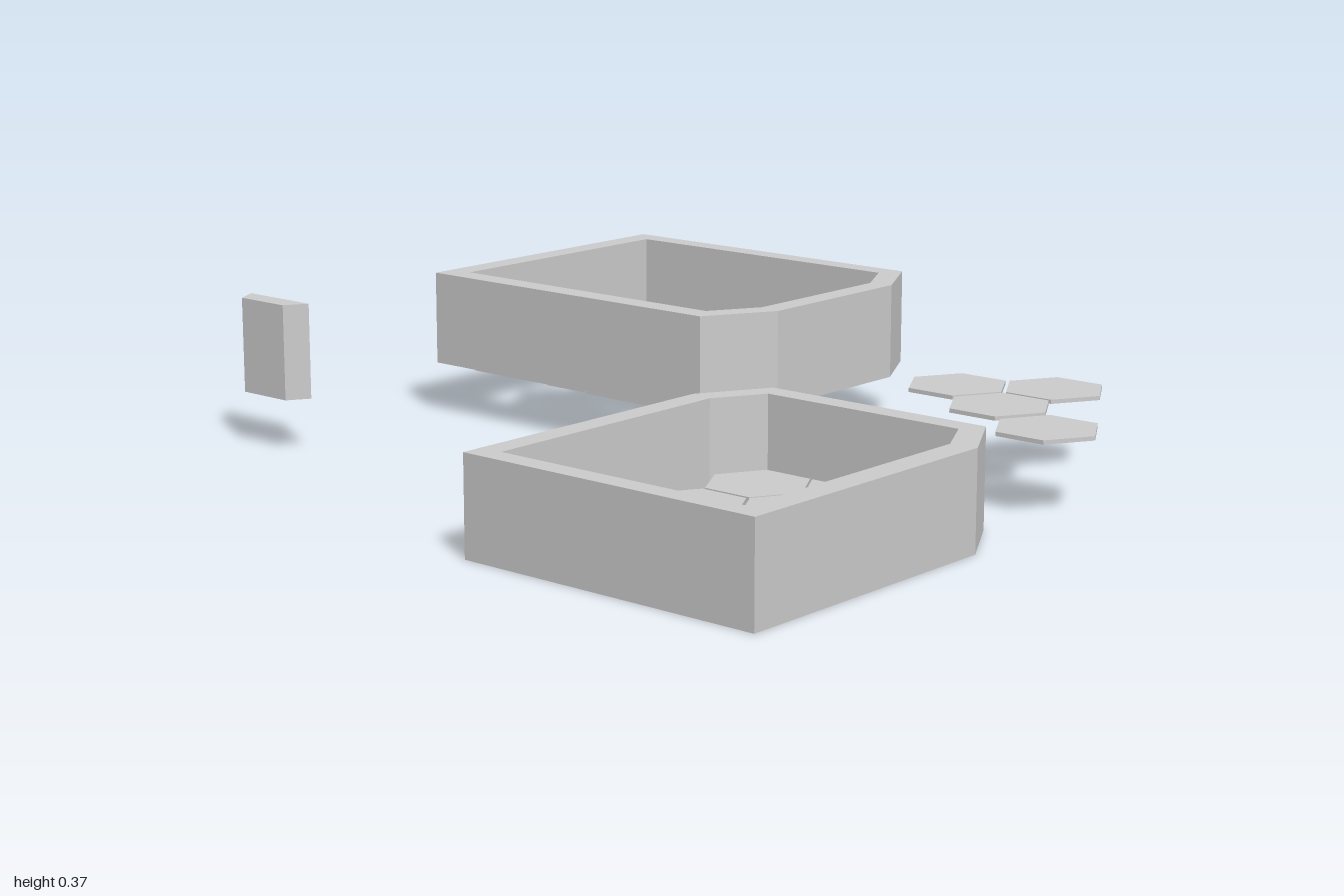
import * as THREE from 'three';

const material = new THREE.MeshStandardMaterial({ color: 0xcccccc, flatShading: true });
const R = 0.128;        // tile radius
const W = 0.11;         // tile half width
const T = 0.01;         // tile thickness

// Upright prism from a plan outline of [x, z] points, with an optional hole
function prism(name, outline, y, height, hole) {
  const flip = (pts) => pts.map(([x, z]) => new THREE.Vector2(x, -z));
  const shape = new THREE.Shape(flip(outline));
  // the hole winds against the outline so its walls face inwards
  if (hole) shape.holes.push(new THREE.Path(flip(hole).reverse()));
  const geometry = new THREE.ExtrudeGeometry(shape, { depth: height, bevelEnabled: false });
  geometry.rotateX(-Math.PI / 2);
  const mesh = new THREE.Mesh(geometry, material);
  mesh.name = name;
  mesh.position.y = y;
  return mesh;
}

// Hexagonal tile; side +1 or -1 keeps only the half towards that x direction
function tile(x, z, y, side = 0) {
  const corners = [[0, -R], [W, -R / 2], [W, R / 2], [0, R], [-W, R / 2], [-W, -R / 2]]
    .filter(([cx]) => cx * side >= 0)
    .map(([cx, cz]) => [x + cx, z + cz]);
  return prism(side ? 'halfTile' : 'tile', corners, y, T);
}

// Rows of tiles: each row lists z, y and its [x, side] entries
function tileField(name, rows) {
  const group = new THREE.Group();
  group.name = name;
  for (const { z, y, xs } of rows)
    for (const [x, side] of xs) group.add(tile(x, z, y, side));
  return group;
}

export function createModel() {
  const model = new THREE.Group();

  // Lower tray frame, chamfered at its two +x corners
  model.add(prism('lowerFrame',
    [[-0.87, 0.177], [-0.127, 0.177], [0.046, 0.274], [0.046, 0.872], [-0.127, 0.971], [-0.87, 0.971]],
    0, 0.235,
    [[-0.816, 0.236], [-0.137, 0.236], [-0.012, 0.306], [-0.012, 0.84], [-0.137, 0.906], [-0.816, 0.906]]));

  // Raised frame, chamfered at its two front corners
  model.add(prism('raisedFrame',
    [[0.067, -0.861], [0.871, -0.861], [0.871, 0.032], [0.695, 0.129], [0.241, 0.129], [0.067, 0.032]],
    0.133, 0.236,
    [[0.128, -0.799], [0.814, -0.799], [0.814, -0.001], [0.684, 0.07], [0.253, 0.07], [0.128, -0.001]]));

  // Honeycomb near the bottom of the lower frame
  const wideRow = [[-0.812, 1], [-0.584, 0], [-0.353, 0], [-0.124, -1], [-0.124, 1]];
  const offsetRow = [[-0.698, 0], [-0.468, 0], [-0.238, 0], [-0.014, -1]];
  model.add(tileField('lowerTiles', [
    { z: 0.369, y: 0.045, xs: wideRow },
    { z: 0.567, y: 0.045, xs: offsetRow },
    { z: 0.763, y: 0.045, xs: wideRow },
  ]));

  // Honeycomb just below the raised frame, rising slightly to the back
  const outerRow = [[0.13, 1], [0.357, 0], [0.584, 0], [0.811, -1]];
  const innerRow = [[0.241, 0], [0.469, 0], [0.697, 0]];
  model.add(tileField('raisedTiles', [-0.658, -0.465, -0.27, -0.075].map((z, i) => (
    { z, y: 0.112 - i * 0.002, xs: i % 2 ? innerRow : outerRow }))));

  // Loose tiles and a cut-off corner
  model.add(tileField('looseTiles', [
    { z: 0.457, y: 0.18, xs: [[0.524, 0]] },
    { z: 0.658, y: 0.18, xs: [[0.409, 0], [0.639, 0]] },
    { z: 0.872, y: 0.18, xs: [[0.286, 0]] },
  ]));
  model.add(prism('tileOffcut', [[0.292, 0.577], [0.403, 0.39], [0.403, 0.512]], 0.105, T));

  // Loose wall block behind the frames
  model.add(prism('wallBlock',
    [[-0.489, -0.97], [-0.434, -1.0], [-0.434, -0.788], [-0.489, -0.82]], 0.133, 0.236));

  return model;
}
